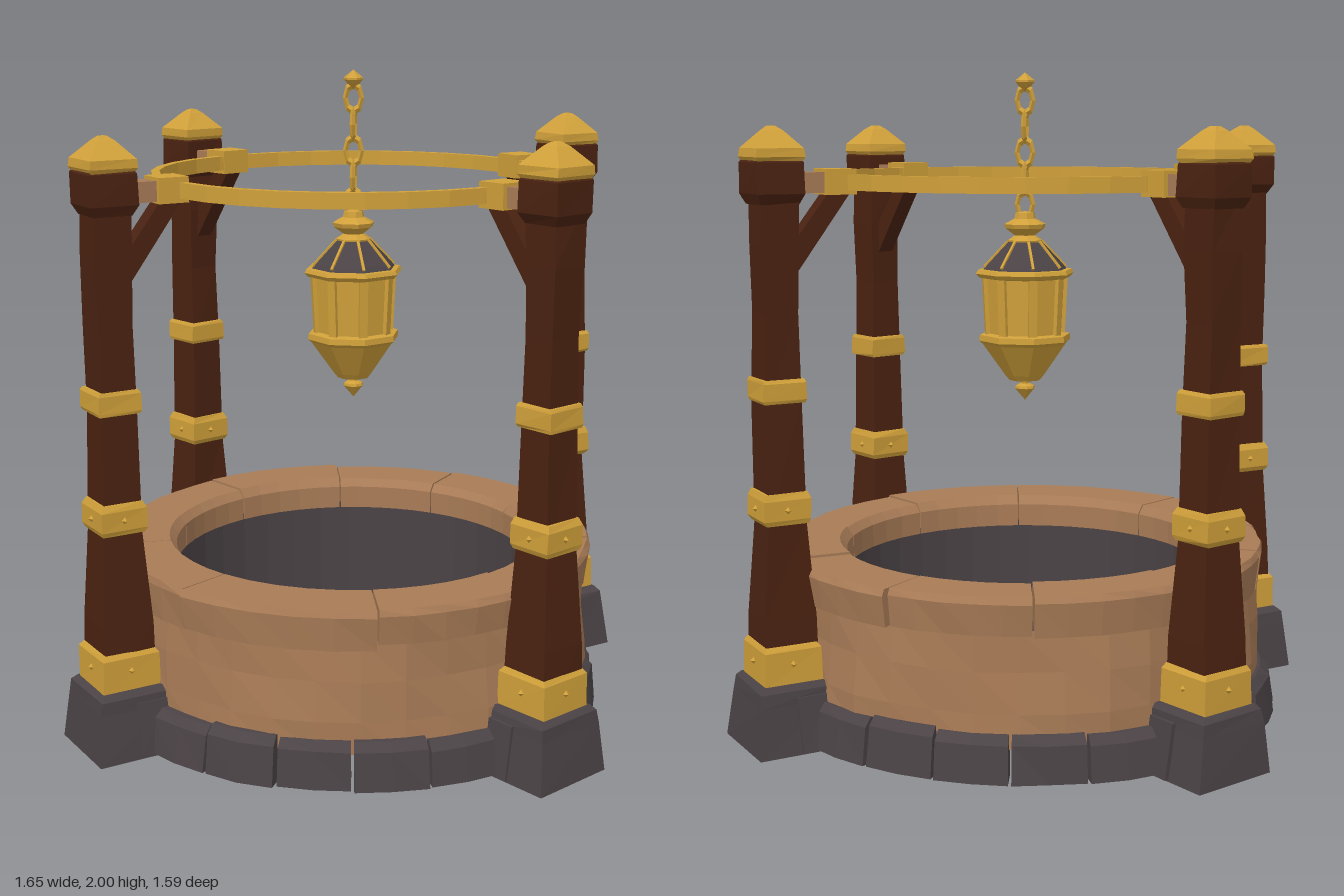
import * as THREE from 'three';

const mat = (name, color) => new THREE.MeshStandardMaterial({ name, color, flatShading: true });

// Small seeded random for hand-hewn unevenness
let seed = 7;
const rnd = (s) => {
  seed = (seed * 16807) % 2147483647;
  return (seed / 2147483647 - 0.5) * 2 * s;
};

// Skin a list of closed rings of [x, y, z] points and cap both ends
function loft(rings) {
  const pos = [];
  const n = rings[0].length;
  const tri = (a, b, c) => pos.push(...a, ...b, ...c);
  for (let i = 0; i < rings.length - 1; i++) {
    for (let j = 0; j < n; j++) {
      const k = (j + 1) % n;
      const [a, b, c, d] = [rings[i][j], rings[i][k], rings[i + 1][k], rings[i + 1][j]];
      tri(a, b, c);
      tri(a, c, d);
    }
  }
  const [first, last] = [rings[0], rings[rings.length - 1]];
  for (let j = 1; j < n - 1; j++) {
    tri(first[0], first[j + 1], first[j]);
    tri(last[0], last[j], last[j + 1]);
  }
  const g = new THREE.BufferGeometry();
  g.setAttribute('position', new THREE.Float32BufferAttribute(pos, 3));
  g.computeVertexNormals();
  return g;
}

// Four-sided column from levels [y, half radial depth, half width, radial shift]
const column = (levels, wobble = 0) => loft(levels.map(([y, a, b, s = 0]) =>
  [[a, b], [a, -b], [-a, -b], [-a, b]].map(([x, z]) => [x + s + rnd(wobble), y, z + rnd(wobble)])));

// Curved block: a clockwise [radius, y] profile swept between two angles
function arcBlock(profile, a0, a1, steps, wobble) {
  const rings = [];
  for (let i = 0; i <= steps; i++) {
    const a = a0 + ((a1 - a0) * i) / steps;
    rings.push(profile.map(([r, y]) => {
      const q = r + (r > 0.7 ? rnd(wobble) : 0);
      return [q * Math.cos(a), y, -q * Math.sin(a)];
    }));
  }
  return loft(rings);
}

const lathe = (pts, sides) => new THREE.LatheGeometry(pts.map(([r, y]) => new THREE.Vector2(r, y)), sides);

export function createModel() {
  seed = 7;
  const root = new THREE.Group();
  root.name = 'well';
  const gold = mat('gold', 0xd0a03a);
  const wood = mat('dark wood', 0x4a2211);
  const tan = mat('tan stone', 0xa87b56);
  const slate = mat('slate', 0x4b4346);

  const add = (parent, name, geo, material, x = 0, y = 0, z = 0) => {
    const m = new THREE.Mesh(geo, material);
    m.name = name;
    m.position.set(x, y, z);
    parent.add(m);
    return m;
  };
  const TAU = Math.PI * 2;

  // Wall body, with a slightly uneven outer face
  const body = lathe([[0.75, 0.1], [0.748, 0.2], [0.74, 0.32], [0.735, 0.44]], 36);
  const p = body.attributes.position;
  for (let i = 0; i < p.count; i++) {
    const a = Math.atan2(p.getZ(i), p.getX(i));
    const k = 1 + 0.007 * Math.sin(a * 7 + p.getY(i) * 14) + 0.005 * Math.sin(a * 11);
    p.setX(i, p.getX(i) * k);
    p.setZ(i, p.getZ(i) * k);
  }
  add(root, 'wallBody', body, tan);

  // Slate lining and underside
  add(root, 'innerLining', lathe([[0.572, 0.46], [0.575, 0.01], [0.77, 0.01]].map(([r, y]) => [r, y]), 36), slate);

  // Rim stones, tan down to a short lip inside
  const rimCuts = [0.02, 0.62, 1.22, 1.8, 2.45, 3.05, 3.5, 4.15, 4.95, 5.6];
  rimCuts.forEach((a, i) => {
    const end = i + 1 < rimCuts.length ? rimCuts[i + 1] : rimCuts[0] + TAU;
    const r = 0.765 + rnd(0.01);
    const top = 0.542 + rnd(0.004);
    const low = 0.425 + rnd(0.015);
    add(root, 'rimStone', arcBlock([
      [r - 0.012, low], [0.568, 0.44], [0.568, 0.515], [0.59, top], [r - 0.01, top], [r, top - 0.02],
    ], a + 0.004, end - 0.004, 5, 0.003), tan);
  });

  // Foundation stones
  const count = 22;
  for (let i = 0; i < count; i++) {
    const r = 0.795 + rnd(0.012);
    const top = 0.145 + rnd(0.01);
    const a = (i / count) * TAU;
    add(root, 'foundationStone', arcBlock([
      [r, 0.01], [0.7, 0.01], [0.7, top], [r - 0.04, top], [r - 0.015, top - 0.025],
    ], a + 0.006, a + TAU / count - 0.006, 2, 0.004), slate);
  }

  // Corner posts: local +x points away from the well
  for (const sx of [1, -1]) {
    for (const sz of [1, -1]) {
      const post = new THREE.Group();
      post.name = 'post';
      post.position.set(sx * 0.635, 0, sz * 0.535);
      post.rotation.y = Math.atan2(-sz * 0.535, sx * 0.635);
      root.add(post);

      // Slate foot, two stones side by side behind a front block
      add(post, 'footBlock', column([[0, 0.13, 0.14], [0.15, 0.112, 0.122], [0.19, 0.108, 0.118], [0.205, 0.095, 0.105]], 0.004), slate);
      add(post, 'footSideStone', column([[0.005, 0.06, 0.15, -0.06], [0.17, 0.05, 0.128, -0.05]], 0.005), slate);

      // Timber with a thicker head
      add(post, 'timber', column([
        [0.18, 0.083, 0.083], [0.4, 0.077, 0.077], [0.68, 0.06, 0.062], [1.05, 0.056, 0.056],
        [1.3, 0.052, 0.054], [1.5, 0.058, 0.056], [1.66, 0.056, 0.056],
      ], 0.004), wood);
      add(post, 'timberHead', column([[1.615, 0.058, 0.058], [1.645, 0.072, 0.072], [1.735, 0.072, 0.072], [1.75, 0.06, 0.06]], 0.003), wood);

      // Gold bands and cap
      add(post, 'baseBand', column([[0.2, 0.092, 0.092], [0.305, 0.09, 0.09], [0.32, 0.08, 0.08]], 0.002), gold);
      add(post, 'lowerBand', column([[0.68, 0.066, 0.066], [0.695, 0.073, 0.073], [0.755, 0.073, 0.073], [0.775, 0.064, 0.064]], 0.002), gold);
      add(post, 'upperBand', column([[1.04, 0.064, 0.064], [1.05, 0.067, 0.067], [1.1, 0.067, 0.067], [1.11, 0.062, 0.062]], 0.002), gold);
      add(post, 'cap', column([[1.735, 0.066, 0.066], [1.75, 0.075, 0.075], [1.775, 0.073, 0.073], [1.825, 0.026, 0.026], [1.838, 0.01, 0.01]], 0.002), gold);

      // Rivets on every face of the two lower bands
      for (const [y, d] of [[0.265, 0.091], [0.725, 0.073]]) {
        for (let k = 0; k < 4; k++) {
          const a = (k * Math.PI) / 2;
          add(post, 'rivet', new THREE.OctahedronGeometry(0.011), gold, Math.cos(a) * d, y, Math.sin(a) * d);
        }
      }

      // Arm, ring clamp and diagonal brace reaching toward the well
      add(post, 'arm', new THREE.BoxGeometry(0.13, 0.06, 0.07), tan, -0.1, 1.675, 0);
      add(post, 'ringClamp', new THREE.BoxGeometry(0.095, 0.075, 0.1), gold, -0.195, 1.677, 0);
      const shape = new THREE.Shape([[-0.045, 1.395], [-0.045, 1.495], [-0.165, 1.65], [-0.235, 1.65]].map(([x, y]) => new THREE.Vector2(x, y)));
      const brace = new THREE.ExtrudeGeometry(shape, { depth: 0.056, bevelEnabled: false });
      add(post, 'brace', brace, wood, 0, 0, -0.028);
    }
  }

  // Hoop joining the four posts
  add(root, 'hoop', lathe([[0.594, 1.652], [0.62, 1.652], [0.62, 1.698], [0.594, 1.698], [0.594, 1.652]], 32), gold);

  // Hanging lantern
  const lantern = new THREE.Group();
  lantern.name = 'lantern';
  root.add(lantern);
  const turn = (name, pts, material, sides = 8) => {
    const m = add(lantern, name, lathe(pts, sides), material);
    m.rotation.y = Math.PI / sides;
    return m;
  };
  turn('topFinial', [[0, 1.94], [0.016, 1.955], [0.03, 1.97], [0.03, 1.976], [0, 2]], gold, 6);
  turn('collar', [[0.05, 1.465], [0.055, 1.485], [0.032, 1.5], [0.062, 1.522], [0.066, 1.535], [0.034, 1.552], [0.03, 1.57], [0, 1.575]], gold);
  turn('roof', [[0.138, 1.388], [0.122, 1.41], [0.055, 1.48]], slate);
  turn('eave', [[0.12, 1.365], [0.146, 1.37], [0.156, 1.382], [0.15, 1.394], [0.122, 1.396]], gold);
  turn('chamber', [[0.118, 1.18], [0.128, 1.38]], gold);
  turn('bowl', [[0, 1.04], [0.05, 1.045], [0.064, 1.062], [0.135, 1.162], [0.146, 1.172], [0.144, 1.19], [0.118, 1.195]], gold);
  turn('bottomFinial', [[0, 0.98], [0.032, 1.018], [0.03, 1.026], [0.014, 1.034], [0.016, 1.05]], gold);

  // Frame bars at the chamber corners and ribs on the roof
  for (let i = 0; i < 8; i++) {
    const spoke = new THREE.Group();
    spoke.name = 'frameSpoke';
    spoke.rotation.y = (i + 0.5) * TAU / 8;
    lantern.add(spoke);
    add(spoke, 'cornerBar', new THREE.BoxGeometry(0.014, 0.2, 0.026), gold, 0.123, 1.28, 0).rotation.z = -0.05;
    add(spoke, 'roofRib', new THREE.BoxGeometry(0.11, 0.008, 0.008), gold, 0.092, 1.442, 0).rotation.z = -0.81;
  }

  // Chain of alternating links
  for (let i = 0; i < 5; i++) {
    const link = add(lantern, 'chainLink', new THREE.TorusGeometry(0.025, 0.008, 4, 8), gold, 0, 1.595 + i * 0.08, 0);
    link.scale.y = 1.65;
    link.rotation.y = i % 2 ? Math.PI / 2 : 0;
  }

  return root;
}
